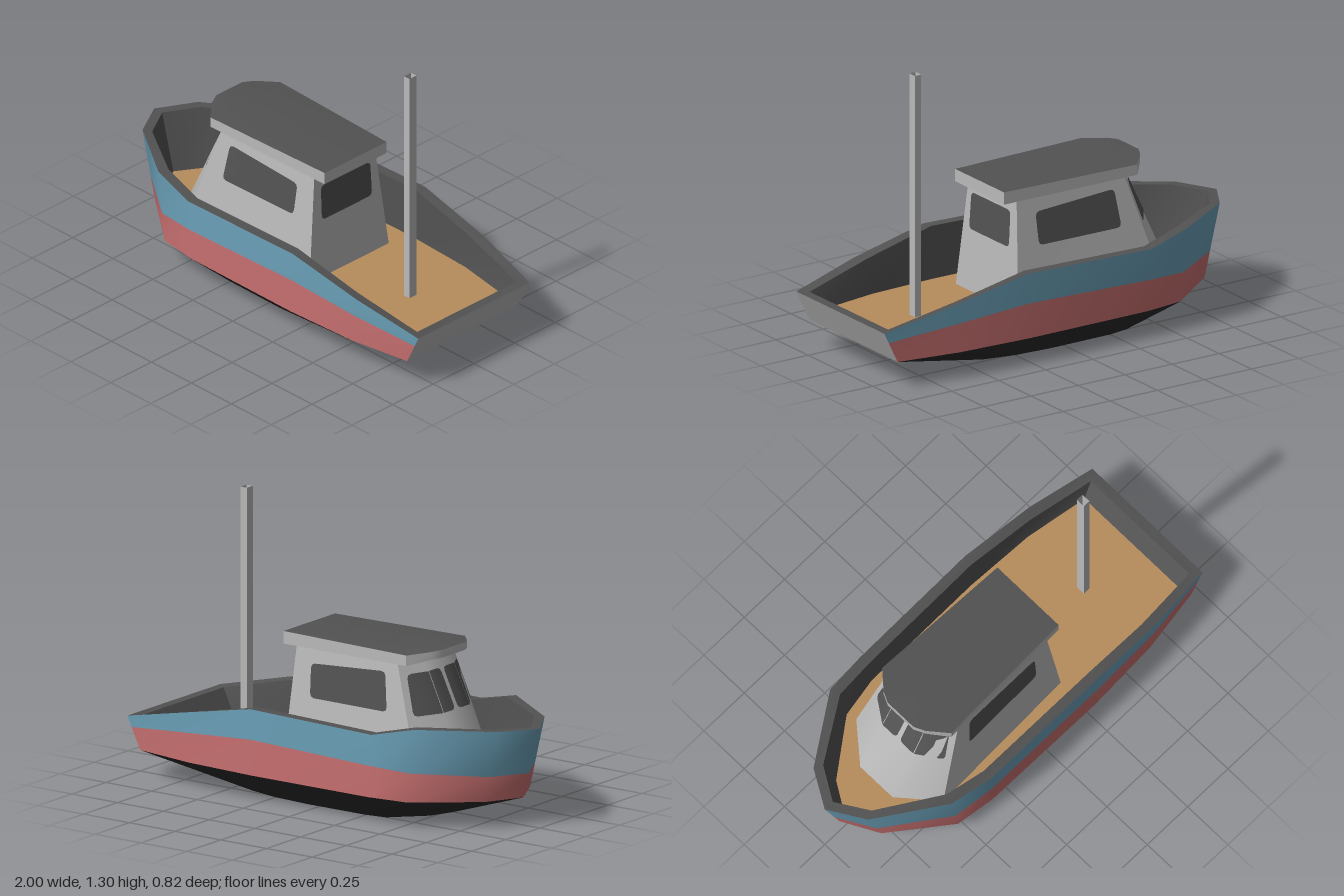
import * as THREE from 'three';
import { toCreasedNormals } from 'three/addons/utils/BufferGeometryUtils.js';

const mat = (name, color, side = THREE.FrontSide) => {
  const m = new THREE.MeshStandardMaterial({ color, side });
  m.name = name;
  return m;
};
const V = (x, y, z) => new THREE.Vector3(x, y, z);

// Mirrors half an outline (bow to stern, +z side) into a ring: stern -z, bow, stern +z
const mirrorRing = (half) => [
  ...half.filter((p) => p.z > 0).reverse().map((p) => V(p.x, p.y, -p.z)),
  ...half,
];

// Triangles joining two rings of equal length
function strip(a, b, closed) {
  const tris = [];
  const n = a.length;
  for (let i = 0; i < (closed ? n : n - 1); i++) {
    const j = (i + 1) % n;
    tris.push(a[i], a[j], b[j], a[i], b[j], b[i]);
  }
  return tris;
}

// Fan closing a ring, facing up or down
function cap(ring, centre, up = true) {
  return ring.flatMap((p, i) => {
    const q = ring[(i + 1) % ring.length];
    return up ? [p, q, centre] : [q, p, centre];
  });
}

function mesh(name, tris, material) {
  const flat = new THREE.BufferGeometry().setFromPoints(tris);
  const m = new THREE.Mesh(toCreasedNormals(flat, 0.7), material);
  m.name = name;
  return m;
}

export function createModel() {
  const blue = mat('blue topside paint', 0x6ba0b8);
  const red = mat('red lower paint', 0xc87070);
  const black = mat('black bottom paint', 0x2b2b2b);
  const grey = mat('light grey', 0xbababa);
  const greyThin = mat('light grey mast', 0xbababa, THREE.DoubleSide);
  const dark = mat('dark grey', 0x525252);
  const wood = mat('wood deck', 0xb68c5c);
  const boat = new THREE.Group();
  boat.name = 'boat';

  // Hull stations, bow to stern: rim x, half width, rim y, paint line y, chine x
  const stations = [
    [-1, 0, 0.45, 0.24, -0.91],
    [-0.9, 0.17, 0.455, 0.243, -0.82],
    [-0.59, 0.377, 0.46, 0.258, -0.55],
    [-0.38, 0.403, 0.41, 0.268, -0.36],
    [0.28, 0.408, 0.425, 0.287, 0.27],
    [0.66, 0.39, 0.347, 0.258, 0.63],
    [1, 0.342, 0.27, 0.222, 0.93],
  ];
  const chineY = 0.125;
  const deckY = 0.18;
  const innerXZ = [[-0.95, 0], [-0.86, 0.15], [-0.575, 0.33], [-0.37, 0.355], [0.27, 0.36], [0.62, 0.345], [0.955, 0.305]];
  const deckXZ = [[-0.88, 0], [-0.8, 0.13], [-0.55, 0.315], [-0.36, 0.35], [0.26, 0.356], [0.6, 0.34], [0.9, 0.29]];

  const rim = mirrorRing(stations.map(([x, z, y]) => V(x, y, z)));
  const chine = mirrorRing(stations.map(([, z, , , cx]) => V(cx, chineY, z)));
  const paint = mirrorRing(stations.map(([x, z, y, p, cx]) =>
    V(cx, chineY, z).lerp(V(x, y, z), (p - chineY) / (y - chineY))));
  const keel = mirrorRing(stations.map(([, z, , , cx]) => V(-0.53 + (cx + 0.91) * 0.505, 0, z * 0.67)));
  const inner = mirrorRing(innerXZ.map(([x, z], i) => V(x, stations[i][2], z)));
  const deck = mirrorRing(deckXZ.map(([x, z]) => V(x, deckY, z)));
  const last = rim.length - 1;

  boat.add(
    mesh('upperHull', strip(paint, rim), blue),
    mesh('lowerHull', strip(chine, paint), red),
    mesh('transom', strip([chine[last], chine[0]], [rim[last], rim[0]]), grey),
    mesh('hullBottom', [...strip(keel, chine, true), ...cap(keel, V(0, 0, 0), false)], black),
    mesh('gunwale', strip(rim, inner, true), dark),
    mesh('bulwarkInside', strip(inner, deck, true), dark),
    mesh('deck', cap(deck, V(0, deckY, 0)), wood),
  );

  // Cabin walls
  const cabin = new THREE.Group();
  cabin.name = 'cabin';
  boat.add(cabin);
  const base = mirrorRing([V(-0.68, deckY, 0.1), V(-0.535, deckY, 0.27), V(0.22, deckY, 0.243)]);
  const top = mirrorRing([V(-0.425, 0.715, 0.09), V(-0.37, 0.7, 0.2), V(0.19, 0.69, 0.185)]);
  cabin.add(mesh('cabinWalls', strip(base, top, true), grey));

  // Window pane on wall i; corners are (u, v) on the wall, the flag asks for a rounded corner
  function pane(i, corners) {
    const j = (i + 1) % base.length;
    const at = (u, v) => base[i].clone().lerp(base[j], u).lerp(top[i].clone().lerp(top[j], u), v);
    const normal = base[j].clone().sub(base[i]).cross(top[i].clone().sub(base[i])).normalize();
    const ring = [];
    corners.forEach(([u, v, round], k) => {
      const p = at(u, v);
      if (!round) return ring.push(p);
      const prev = at(...corners[(k + 3) % 4].slice(0, 2));
      const next = at(...corners[(k + 1) % 4].slice(0, 2));
      const r = 0.02;
      const start = p.clone().add(prev.sub(p).setLength(r));
      const end = p.clone().add(next.sub(p).setLength(r));
      const mid = start.clone().add(end).multiplyScalar(0.5).lerp(p, 0.45);
      ring.push(start, mid, end);
    });
    ring.forEach((p) => p.addScaledVector(normal, 0.005));
    const centre = ring.reduce((s, p) => s.add(p), V(0, 0, 0)).divideScalar(ring.length);
    return cap(ring, centre);
  }
  const mirrorTris = (tris) => tris.map((p) => V(p.x, p.y, -p.z)).reverse();

  const sideWindow = pane(4, [[0.165, 0.56, 1], [0.83, 0.56, 1], [0.84, 0.855, 1], [0.13, 0.9, 1]]);
  const windshield = [
    ...pane(3, [[0, 0.54, 0], [0.82, 0.54, 1], [0.76, 0.88, 1], [0, 0.87, 0]]),
    ...pane(2, [[0.56, 0.54, 1], [1, 0.54, 0], [1, 0.87, 0], [0.56, 0.87, 1]]),
  ];
  cabin.add(
    mesh('leftSideWindow', sideWindow, dark),
    mesh('rightSideWindow', mirrorTris(sideWindow), dark),
    mesh('leftWindshield', windshield, dark),
    mesh('rightWindshield', mirrorTris(windshield), dark),
    mesh('rearWindow', pane(5, [[0.13, 0.55, 1], [0.86, 0.55, 1], [0.89, 0.88, 1], [0.1, 0.88, 1]]), dark),
  );

  // Overhanging roof: x, half width, top y, underside y
  const roof = [[-0.53, 0.08, 0.752, 0.717], [-0.505, 0.13, 0.748, 0.713], [-0.43, 0.215, 0.738, 0.69], [0.26, 0.19, 0.737, 0.68]];
  const roofTop = mirrorRing(roof.map(([x, z, y]) => V(x, y, z)));
  const roofLow = mirrorRing(roof.map(([x, z, , y]) => V(x, y, z)));
  cabin.add(
    mesh('roofTop', cap(roofTop, V(-0.4, 0.757, 0)), dark),
    mesh('roofEdge', strip(roofLow, roofTop, true), grey),
    mesh('roofUnderside', cap(roofLow, V(-0.1, 0.69, 0), false), grey),
  );

  // Hollow square mast
  const mastHeight = 1.3 - deckY;
  const tube = new THREE.CylinderGeometry(Math.SQRT1_2, Math.SQRT1_2, mastHeight, 4, 1, true)
    .rotateY(Math.PI / 4).scale(0.034, 1, 0.043);
  const mast = new THREE.Mesh(toCreasedNormals(tube, 0.5), greyThin);
  mast.name = 'mast';
  mast.position.set(0.602, deckY + mastHeight / 2, 0);
  boat.add(mast);

  return boat;
}
